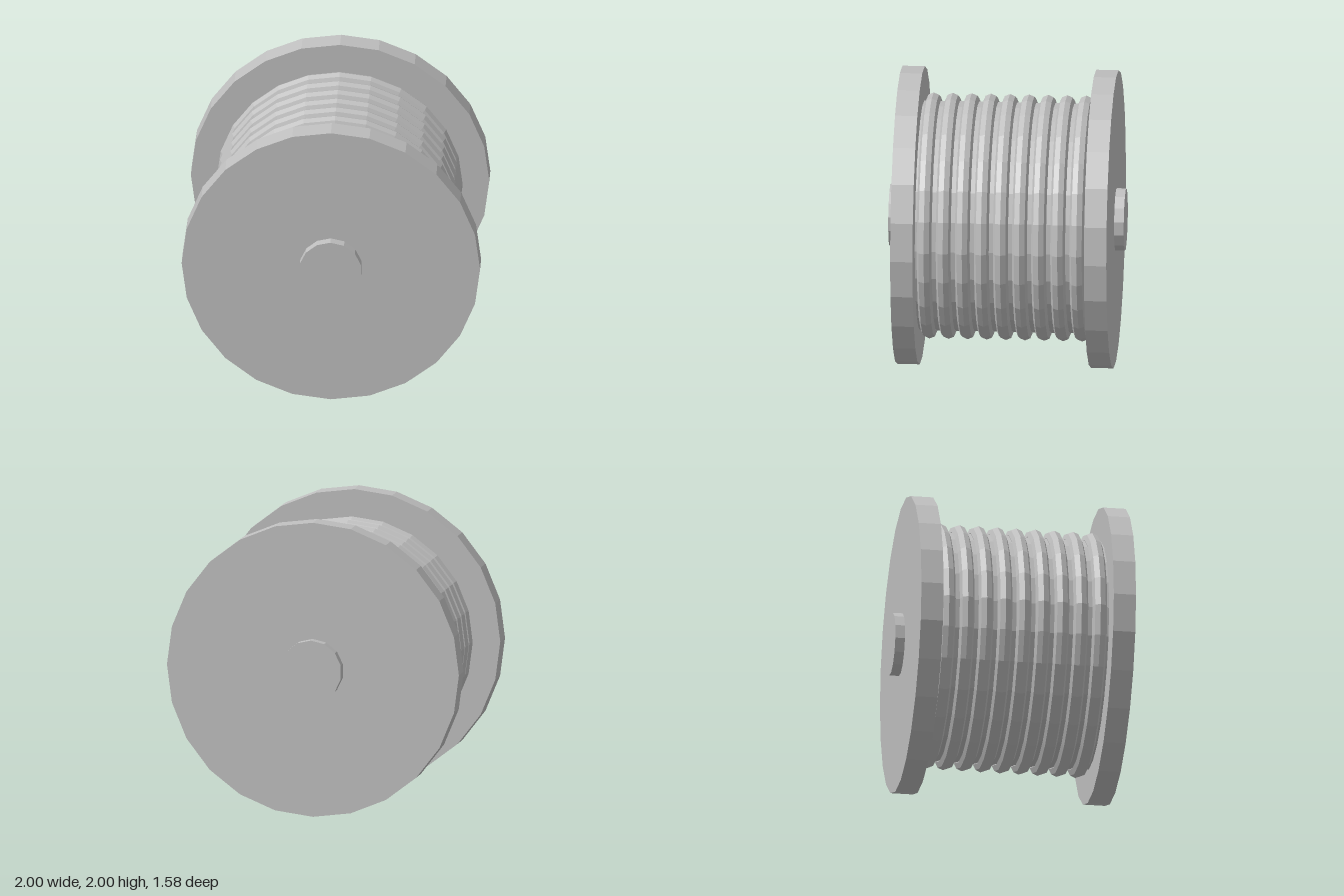
import * as THREE from 'three';

export function createModel() {
  const model = new THREE.Group();
  model.name = 'cableSpool';
  const grey = new THREE.MeshStandardMaterial({ color: 0xbfbfbf, flatShading: true });
  grey.name = 'plain grey';

  const CENTRE_Y = 1;
  const add = (name, geometry, z = 0) => {
    const mesh = new THREE.Mesh(geometry, grey);
    mesh.name = name;
    mesh.position.set(0, CENTRE_Y, z);
    model.add(mesh);
  };
  // Cylinder lying along z with a corner pointing straight up
  const disc = (radius, depth, sides) =>
    new THREE.CylinderGeometry(radius, radius, depth, sides).rotateX(Math.PI / 2);

  // Axle runs through the spool and sticks out at both ends
  add('axle', disc(0.21, 1.58, 14));

  // Drum between the two flanges
  add('drum', disc(0.77, 1.15, 24));
  add('frontFlange', disc(1, 0.15, 24), 0.65);
  add('backFlange', disc(1, 0.15, 24), -0.65);

  // Nine turns of cable around the drum
  const turn = new THREE.TorusGeometry(0.775, 0.05, 8, 24);
  for (let i = 0; i < 9; i++) add(`cableTurn${i + 1}`, turn, (i - 4) * 0.128);

  return model;
}
